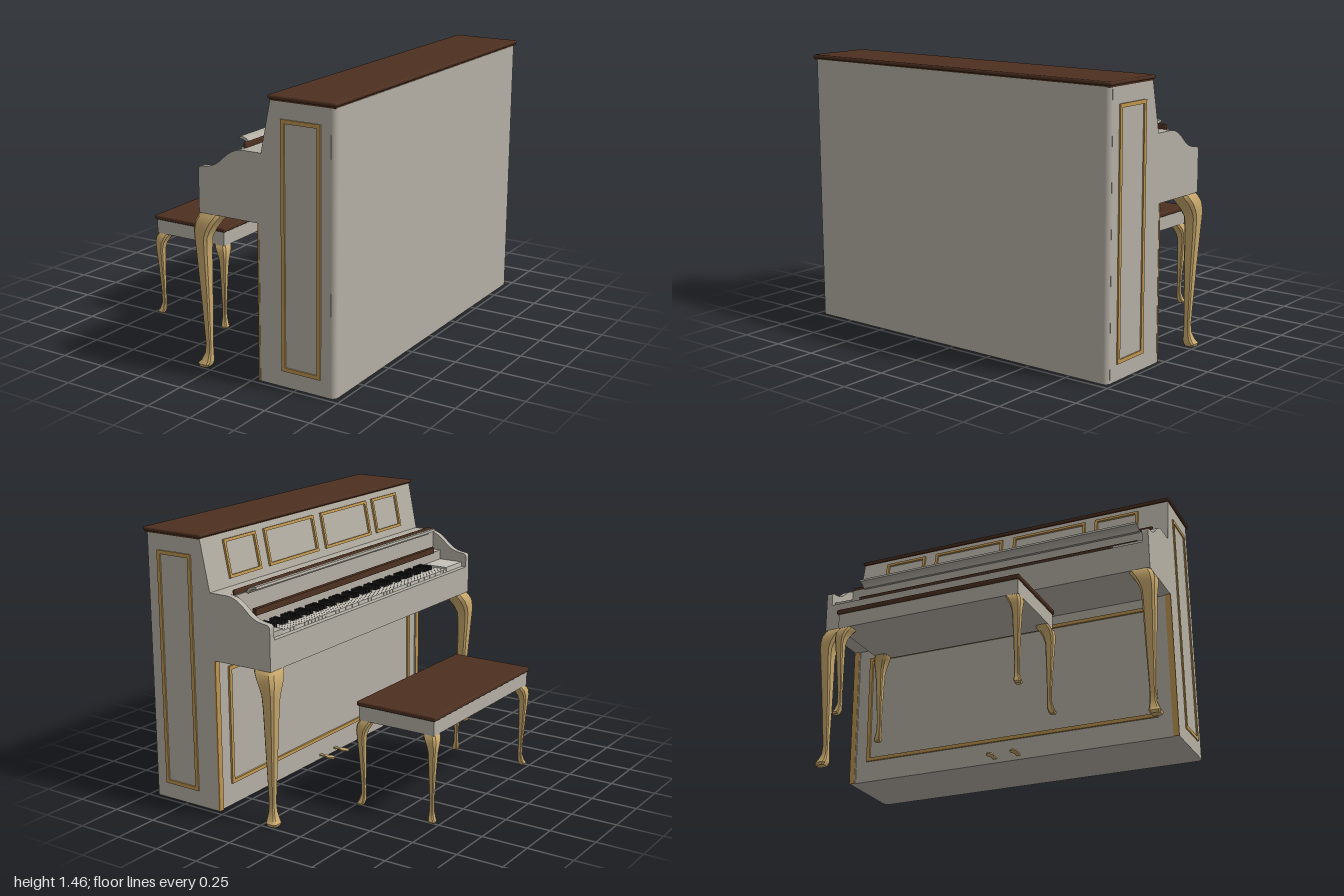
import * as THREE from 'three';
import { toCreasedNormals } from 'three/addons/utils/BufferGeometryUtils.js';
import { RoundedBoxGeometry } from 'three/addons/geometries/RoundedBoxGeometry.js';

const material = (name, color) => Object.assign(new THREE.MeshStandardMaterial({ color }), { name });

export function createModel() {
  const paint = material('warm grey paint', 0xb4afa4);
  const walnut = material('dark walnut', 0x4d3020);
  const wood = material('pale carved wood', 0xc6a76c);
  const gilt = material('gilt trim', 0xbd9550);
  const ivory = material('ivory keys', 0xc6c2b8);
  const ebony = material('black keys', 0x1c1a1a);

  const model = new THREE.Group();
  const piano = new THREE.Group();
  piano.name = 'piano';
  const bench = new THREE.Group();
  bench.name = 'bench';
  model.add(piano, bench);

  const add = (parent, name, geometry, mat) => {
    const mesh = new THREE.Mesh(geometry, mat);
    mesh.name = name;
    parent.add(mesh);
    return mesh;
  };
  // box given by its minimum and maximum corners
  const box = (parent, name, mat, x0, x1, y0, y1, z0, z1, radius = 0) => {
    const size = [x1 - x0, y1 - y0, z1 - z0];
    const geometry = radius ? new RoundedBoxGeometry(...size, 2, radius) : new THREE.BoxGeometry(...size);
    const mesh = add(parent, name, geometry, mat);
    mesh.position.set((x0 + x1) / 2, (y0 + y1) / 2, (z0 + z1) / 2);
    return mesh;
  };
  // side profile extruded along z
  const extrude = (name, shape, mat, z0, z1) => {
    const geometry = new THREE.ExtrudeGeometry(shape, { depth: z1 - z0, bevelEnabled: false, curveSegments: 10 });
    const mesh = add(piano, name, toCreasedNormals(geometry, 0.6), mat);
    mesh.position.z = z0;
    return mesh;
  };
  const polygon = (points) => new THREE.Shape(points.map(([x, y]) => new THREE.Vector2(x, y)));
  // rectangular moulding around an open middle
  const frame = (name, width, height, trim, depth) => {
    const rect = (w, h) => polygon([[-w, -h], [w, -h], [w, h], [-w, h]]);
    const shape = rect(width / 2, height / 2);
    shape.holes.push(rect(width / 2 - trim, height / 2 - trim));
    const geometry = new THREE.ExtrudeGeometry(shape, { depth, bevelEnabled: false });
    geometry.translate(0, 0, -depth / 2);
    return add(piano, name, geometry, gilt);
  };

  // curved leg: chamfered square sections [height, inner, outer], bulging to +x +z
  const legGeometry = (levels) => {
    const position = [], index = [], n = 8;
    for (const [y, a, b] of levels) {
      const c = (b - a) * 0.16;
      const ring = [[b, a + c], [b, b - c], [b - c, b], [a + c, b], [a, b - c], [a, a + c], [a + c, a], [b - c, a]];
      for (const [x, z] of ring) position.push(x, y, z);
    }
    for (let j = 0; j < levels.length - 1; j++) {
      for (let i = 0; i < n; i++) {
        const p = j * n + i, q = j * n + (i + 1) % n;
        index.push(p, p + n, q, q, p + n, q + n);
      }
    }
    for (let i = 1; i < n - 1; i++) index.push(0, i, i + 1);
    const geometry = new THREE.BufferGeometry();
    geometry.setAttribute('position', new THREE.Float32BufferAttribute(position, 3));
    geometry.setIndex(index);
    return toCreasedNormals(geometry, 0.65);
  };

  // piano ends with the scrolled arm
  const cheek = new THREE.Shape();
  cheek.moveTo(0.285, 0);
  cheek.lineTo(0.695, 0);
  cheek.lineTo(0.695, 1.43);
  cheek.lineTo(0.36, 1.43);
  cheek.lineTo(0.305, 1.165);
  cheek.lineTo(0.2, 1.165);
  cheek.bezierCurveTo(0.14, 1.165, 0.1, 1.125, 0.07, 1.098);
  cheek.bezierCurveTo(0.03, 1.062, 0, 1.058, -0.045, 1.053);
  cheek.quadraticCurveTo(-0.065, 1.05, -0.065, 1.03);
  cheek.lineTo(-0.065, 0.815);
  cheek.lineTo(0.285, 0.815);
  extrude('leftEnd', cheek, paint, 0.94, 0.975);
  extrude('rightEnd', cheek, paint, -0.975, -0.94);

  // case between the ends, with key bed, shelf and sloping front
  extrude('case', polygon([
    [0.29, 0], [0.72, 0], [0.72, 1.43], [0.36, 1.43], [0.305, 1.165], [0.165, 1.165], [0.165, 0.95],
    [-0.035, 0.95], [-0.035, 0.972], [-0.065, 0.972], [-0.065, 0.815], [0.29, 0.815],
  ]), paint, -0.945, 0.945);

  for (const s of [-1, 1]) {
    // rounded back corner
    const corner = add(piano, 'backCorner', new THREE.CylinderGeometry(0.03, 0.03, 1.43, 24), paint);
    corner.position.set(0.69, 0.715, s * 0.945);
    frame('endPanelTrim', 0.22, 1.26, 0.02, 0.012).position.set(0.53, 0.715, s * 0.976);
    box(piano, 'frontEdgeTrim', gilt, 0.282, 0.291, 0, 0.815, s * 0.961 - 0.016, s * 0.961 + 0.016);
  }

  // lid
  box(piano, 'lid', walnut, 0.36, 0.718, 1.428, 1.44, -0.978, 0.978);
  box(piano, 'lidTop', walnut, 0.35, 0.725, 1.436, 1.455, -0.985, 0.985, 0.008);

  // trim on the sloping front and the lower front
  for (const [z0, z1] of [[-0.81, -0.55], [-0.48, -0.04], [0.03, 0.48], [0.54, 0.8]]) {
    const trim = frame('upperPanelTrim', z1 - z0, 0.2, 0.016, 0.022);
    trim.position.set(0.333, 1.302, (z0 + z1) / 2);
    trim.rotation.set(0, -Math.PI / 2, -0.205, 'ZYX');
  }
  const lowerTrim = frame('lowerPanelTrim', 1.74, 0.64, 0.02, 0.016);
  lowerTrim.position.set(0.287, 0.44, 0);
  lowerTrim.rotation.y = -Math.PI / 2;

  // curved key cover lip, walnut ledge and strip behind the keys
  const lip = new THREE.Shape();
  lip.moveTo(0.102, 1.185);
  lip.quadraticCurveTo(0.135, 1.188, 0.15, 1.16);
  lip.lineTo(0.168, 1.16);
  lip.quadraticCurveTo(0.155, 1.2, 0.105, 1.198);
  extrude('keyCover', lip, paint, -0.86, 0.86);
  box(piano, 'musicLedge', walnut, 0.172, 0.19, 1.16, 1.19, -0.94, 0.93, 0.006);
  box(piano, 'keyStrip', walnut, 0.107, 0.13, 1.05, 1.085, -0.86, 0.86);
  box(piano, 'keyBack', paint, 0.112, 0.166, 0.95, 1.055, -0.94, 0.94);

  // keyboard: 52 naturals with sharps in the repeating pattern
  const pitch = 0.0306, start = -0.83;
  for (let i = 0; i < 52; i++) {
    const z = start + i * pitch;
    box(piano, 'whiteKey', ivory, -0.034, 0.115, 0.95, 0.99, z + 0.0012, z + pitch - 0.0012);
    if (i < 51 && [0, 2, 3, 5, 6].includes(i % 7)) {
      box(piano, 'blackKey', ebony, 0.032, 0.112, 0.98, 1.012, z + pitch - 0.0095, z + pitch + 0.0095);
    }
  }
  box(piano, 'bassKeyBlock', paint, -0.035, 0.115, 0.95, 1.0, -0.94, start);
  box(piano, 'trebleKeyBlock', ivory, -0.035, 0.115, 0.95, 1.0, start + 52 * pitch + 0.002, 0.94);

  // pedals
  for (const z of [-0.07, 0.07]) {
    box(piano, 'pedalStem', wood, 0.22, 0.295, 0.022, 0.03, z - 0.01, z + 0.01);
    const tip = add(piano, 'pedalTip', new THREE.CylinderGeometry(0.02, 0.02, 0.008, 16), wood);
    tip.scale.x = 1.4;
    tip.position.set(0.22, 0.026, z);
  }

  // piano legs
  const pianoLeg = legGeometry([
    [0, 0.03, 0.082], [0.015, 0.022, 0.087], [0.03, 0.02, 0.076], [0.07, 0.023, 0.06], [0.12, 0.025, 0.056],
    [0.4, 0.02, 0.072], [0.62, 0.018, 0.086], [0.69, 0.014, 0.091], [0.73, -0.002, 0.093], [0.77, -0.025, 0.089],
    [0.8, -0.046, 0.077], [0.816, -0.052, 0.066],
  ]);
  for (const s of [-1, 1]) {
    const leg = add(piano, 'pianoLeg', pianoLeg, wood);
    leg.position.z = s * 0.907;
    leg.scale.set(-1, 1, s);
  }

  // bench
  box(bench, 'benchSeat', walnut, -0.725, -0.255, 0.548, 0.573, -0.51, 0.51, 0.008);
  box(bench, 'benchApron', paint, -0.715, -0.265, 0.47, 0.552, -0.5, 0.5);
  const benchLeg = legGeometry([
    [0, 0.205, 0.232], [0.01, 0.2, 0.236], [0.025, 0.196, 0.228], [0.06, 0.196, 0.218], [0.12, 0.197, 0.218],
    [0.28, 0.195, 0.228], [0.38, 0.193, 0.236], [0.415, 0.184, 0.239], [0.445, 0.169, 0.237],
    [0.462, 0.158, 0.229], [0.471, 0.155, 0.224],
  ]);
  for (const sx of [-1, 1]) {
    for (const sz of [-1, 1]) {
      const leg = add(bench, 'benchLeg', benchLeg, wood);
      leg.position.set(-0.49, 0, sz * 0.275);
      leg.scale.set(sx, 1, sz);
    }
  }
  return model;
}
